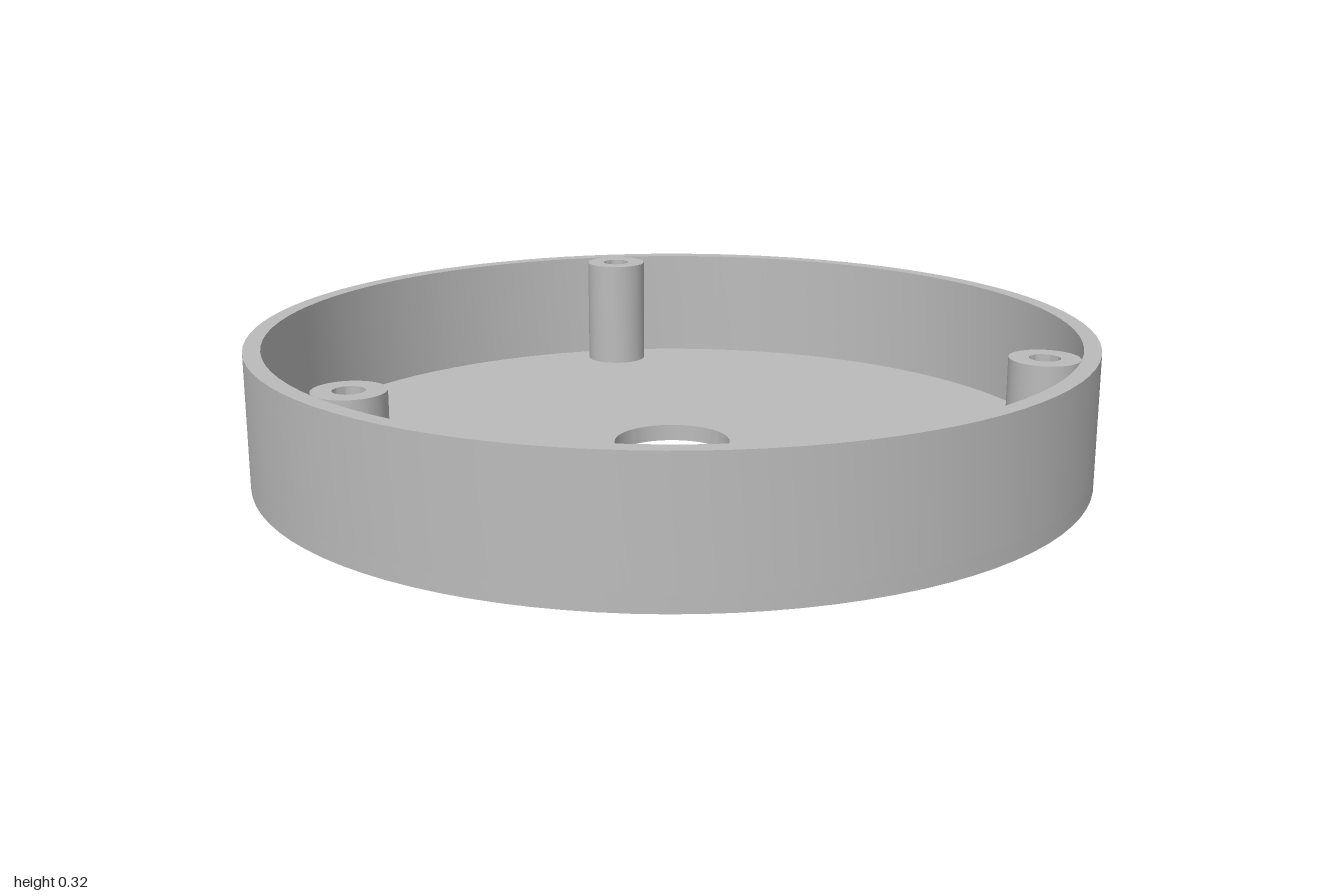
import * as THREE from 'three';
import { toCreasedNormals } from 'three/addons/utils/BufferGeometryUtils.js';

const RADIUS = 1, HEIGHT = 0.32, FLOOR = 0.04, WALL = 0.04;
const POST_RADIUS = 0.08, SCREW_RADIUS = 0.035, POST_DISTANCE = 0.88, CENTRE_HOLE = 0.14;

// Upright disc with round holes, each given as [x, z, radius]
function piercedDisc(radius, holes, bottom, top, segments) {
  const shape = new THREE.Shape().absarc(0, 0, radius, 0, Math.PI * 2);
  for (const [x, z, r] of holes) {
    shape.holes.push(new THREE.Path().absarc(x, -z, r, 0, Math.PI * 2, true));
  }
  const geometry = new THREE.ExtrudeGeometry(shape, {
    depth: top - bottom, bevelEnabled: false, curveSegments: segments,
  });
  geometry.rotateX(-Math.PI / 2).translate(0, bottom, 0);
  return toCreasedNormals(geometry, 0.6);
}

export function createModel() {
  const model = new THREE.Group();
  model.name = 'roundEnclosure';
  const grey = new THREE.MeshStandardMaterial({ color: 0xbbbbbb });
  grey.name = 'grey';

  function add(name, geometry) {
    const mesh = new THREE.Mesh(geometry, grey);
    mesh.name = name;
    model.add(mesh);
    return mesh;
  }

  // Three screw posts, one at the front and two towards the back
  const posts = [0, 1, 2].map((i) => {
    const angle = (i * Math.PI * 2) / 3;
    return [POST_DISTANCE * Math.sin(angle), POST_DISTANCE * Math.cos(angle)];
  });

  // Floor with the centre opening and screw holes
  const holes = posts.map(([x, z]) => [x, z, SCREW_RADIUS]);
  add('floor', piercedDisc(RADIUS, [[0, 0, CENTRE_HOLE], ...holes], 0, FLOOR, 48));

  // Outer wall
  add('wall', piercedDisc(RADIUS, [[0, 0, RADIUS - WALL]], FLOOR, HEIGHT, 48));

  // Hollow posts, flush with the rim
  const post = piercedDisc(POST_RADIUS, [[0, 0, SCREW_RADIUS]], FLOOR, HEIGHT, 24);
  posts.forEach(([x, z], i) => add(`screwPost${i + 1}`, post).position.set(x, 0, z));

  return model;
}
